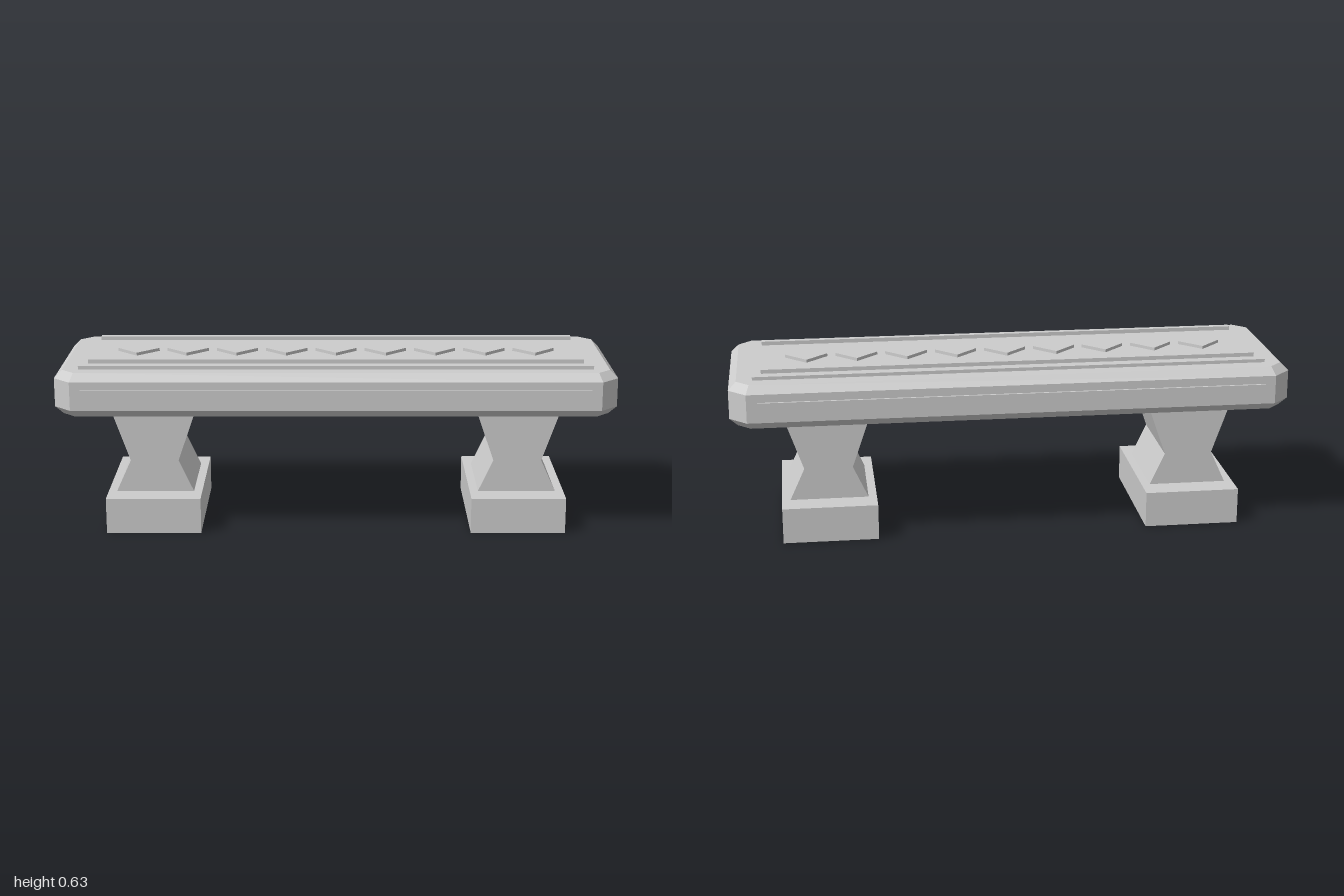
import * as THREE from 'three';

export function createModel() {
  const group = new THREE.Group();
  group.name = 'bench';

  const stone = new THREE.MeshStandardMaterial({ color: 0xcccccc });
  stone.name = 'pale grey stone';

  function add(name, geometry, x = 0, y = 0, z = 0, parent = group) {
    const mesh = new THREE.Mesh(geometry, stone);
    mesh.name = name;
    mesh.position.set(x, y, z);
    parent.add(mesh);
    return mesh;
  }

  // Box given by its bottom and top heights
  function slab(name, width, y0, y1, depth, x = 0, z = 0, parent = group) {
    return add(name, new THREE.BoxGeometry(width, y1 - y0, depth), x, (y0 + y1) / 2, z, parent);
  }

  const polygon = (points) => new THREE.Shape(points.map(([x, y]) => new THREE.Vector2(x, y)));

  // Seat: cut-cornered slab with chamfered upper and lower rims
  const w = 1, d = 0.312, cut = 0.062, bevel = 0.028;
  const outline = polygon([
    [w, -d + cut], [w, d - cut], [w - cut, d], [-w + cut, d],
    [-w, d - cut], [-w, -d + cut], [-w + cut, -d], [w - cut, -d],
  ]);
  const seat = new THREE.ExtrudeGeometry(outline, {
    depth: 0.103, bevelEnabled: true, bevelSegments: 1,
    bevelSize: bevel, bevelOffset: -bevel, bevelThickness: bevel,
  });
  seat.rotateX(-Math.PI / 2);
  add('seat', seat, 0, 0.473, 0);

  // Raised panel on the seat
  slab('seatPanel', 1.832, 0.6, 0.616, 0.464);

  // Long rails on the panel and bands along the seat edges
  for (const side of [-1, 1]) {
    slab('panelRail', 1.77, 0.61, 0.63, 0.023, 0, side * 0.182);
    slab('edgeBand', 1.8, 0.507, 0.547, 0.02, 0, side * 0.31);
  }

  // Row of nine raised diamonds
  const diamond = new THREE.CylinderGeometry(0.076, 0.076, 0.017, 4).toNonIndexed();
  diamond.computeVertexNormals();
  for (let i = -4; i <= 4; i++) add('diamond', diamond, i * 0.181, 0.6185, 0);

  // Legs: waisted pillar on a square-edged foot
  const pillar = new THREE.ExtrudeGeometry(polygon([
    [-0.143, 0.125], [0.143, 0.125], [0.087, 0.247],
    [0.157, 0.448], [-0.157, 0.448], [-0.087, 0.247],
  ]), { depth: 0.342, bevelEnabled: false });
  pillar.translate(0, 0, -0.171);
  for (const side of [-1, 1]) {
    const leg = new THREE.Group();
    leg.name = side > 0 ? 'leftLeg' : 'rightLeg';
    leg.position.x = side * 0.66;
    group.add(leg);
    add('pillar', pillar, 0, 0, 0, leg);
    slab('foot', 0.342, 0, 0.13, 0.524, 0, 0, leg);
  }

  return group;
}
